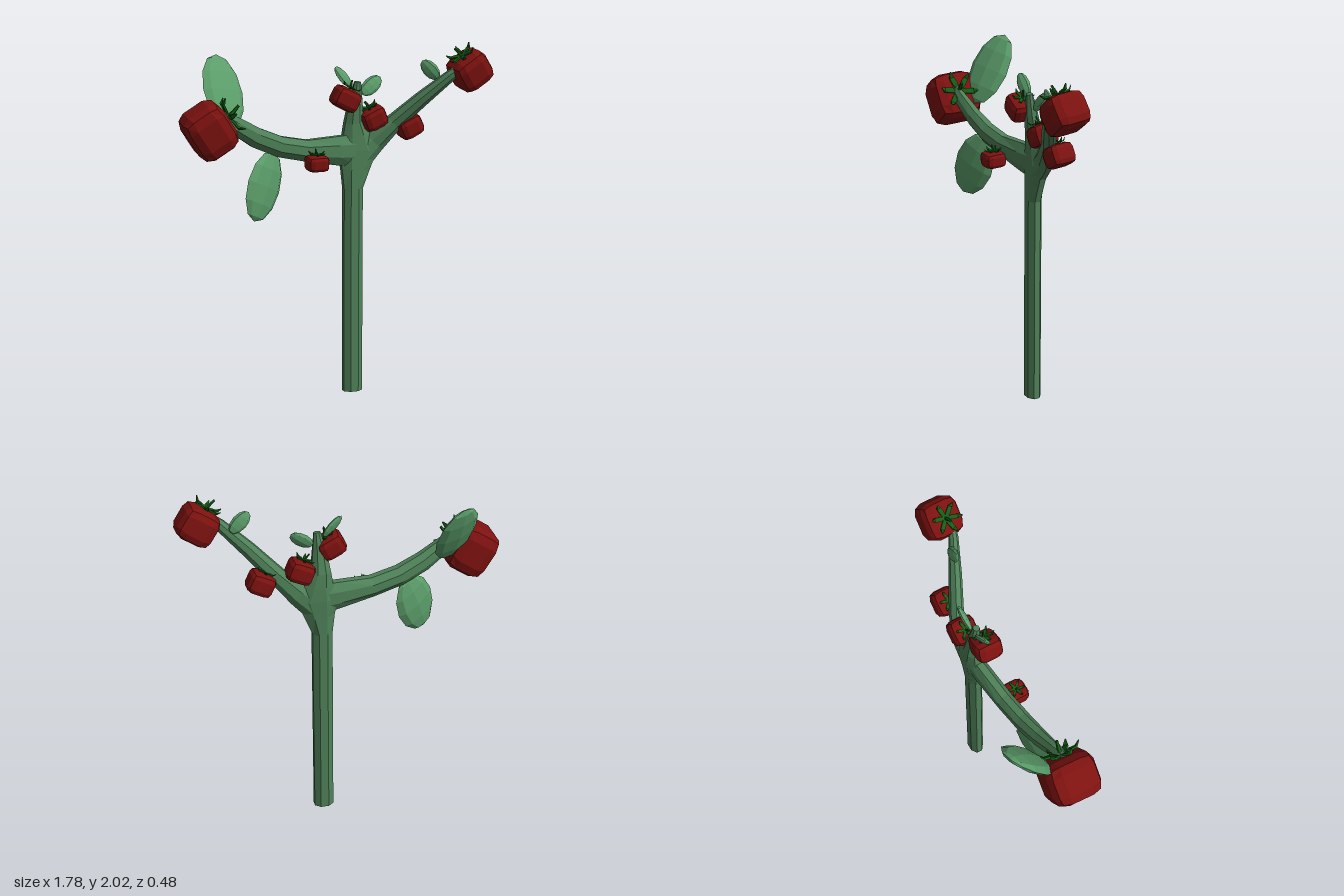
import * as THREE from 'three';

const mat = (color) => new THREE.MeshStandardMaterial({ color, flatShading: true });
const stemMat = mat(0x4f8259);
const leafMat = mat(0x5c9f6b);
const fruitMat = mat(0x7d1210);
const sepalMat = mat(0x145c16);

// Tapered limb through rings [x, y, z, radius in the xy plane, radius along z]
function limb(name, rings, material, sides = 8) {
  const pts = rings.map(([x, y, z]) => new THREE.Vector3(x, y, z));
  const pos = [], idx = [], n = pts.length;
  pts.forEach((p, i) => {
    const t = pts[Math.min(i + 1, n - 1)].clone().sub(pts[Math.max(i - 1, 0)]).normalize();
    const u = new THREE.Vector3(0, 0, 1).cross(t).normalize();
    const v = t.clone().cross(u);
    for (let j = 0; j < sides; j++) {
      const a = ((j + 0.5) / sides) * Math.PI * 2;
      const q = p.clone().addScaledVector(u, Math.cos(a) * rings[i][3]).addScaledVector(v, Math.sin(a) * rings[i][4]);
      pos.push(q.x, q.y, q.z);
    }
  });
  pos.push(...pts[0].toArray(), ...pts[n - 1].toArray());
  const c0 = n * sides, c1 = c0 + 1, last = (n - 1) * sides;
  for (let j = 0; j < sides; j++) {
    const k = (j + 1) % sides;
    for (let i = 0; i < n - 1; i++) {
      const a = i * sides + j, b = i * sides + k;
      idx.push(a, b, b + sides, a, b + sides, a + sides);
    }
    idx.push(c0, k, j, c1, last + j, last + k);
  }
  const g = new THREE.BufferGeometry();
  g.setAttribute('position', new THREE.Float32BufferAttribute(pos, 3));
  g.setIndex(idx);
  g.computeVertexNormals();
  const m = new THREE.Mesh(g, material);
  m.name = name;
  return m;
}

// Boxy rounded body: a 3 x 3 x 3 box pulled onto a superellipsoid
function fruitBody(w, h) {
  const g = new THREE.BoxGeometry(2, 2, 2, 3, 3, 3);
  const p = g.attributes.position, v = new THREE.Vector3();
  const spread = (c) => (Math.abs(c) < 0.9 ? Math.sign(c) * 0.5 : c);
  for (let i = 0; i < p.count; i++) {
    v.fromBufferAttribute(p, i);
    v.set(spread(v.x), spread(v.y), spread(v.z));
    const r = (v.x ** 4 + v.y ** 4 + v.z ** 4) ** 0.25;
    v.multiplyScalar(1 / r);
    p.setXYZ(i, v.x * w / 2, v.y * h / 2, v.z * w / 2);
  }
  g.computeVertexNormals();
  const m = new THREE.Mesh(g, fruitMat);
  m.name = 'fruitBody';
  return m;
}

// Fruit with a crown of curled sepals, its top turned towards "up"
function fruit(center, w, h, up) {
  const f = new THREE.Group();
  f.name = 'fruit';
  f.add(fruitBody(w, h));
  const y = h / 2;
  for (let i = 0; i < 6; i++) {
    const s = limb('sepal', [
      [0, y, 0, 0.012 * w, 0.05 * w],
      [0.17 * w, y + 0.04 * w, 0, 0.03 * w, 0.08 * w],
      [0.31 * w, y + 0.05 * w, 0, 0.03 * w, 0.07 * w],
      [0.4 * w, y + 0.15 * w, 0, 0.01 * w, 0.015 * w],
    ], sepalMat, 4);
    s.rotation.y = (i / 6) * Math.PI * 2 + 0.3;
    f.add(s);
  }
  f.add(limb('fruitStalk', [
    [0, y - 0.05 * w, 0, 0.05 * w, 0.05 * w],
    [-0.03 * w, y + 0.15 * w, 0, 0.04 * w, 0.04 * w],
    [-0.08 * w, y + 0.3 * w, 0, 0.03 * w, 0.03 * w],
  ], sepalMat, 5));
  f.position.set(...center);
  f.quaternion.setFromUnitVectors(new THREE.Vector3(0, 1, 0), new THREE.Vector3(...up).normalize());
  return f;
}

// Thick flattened leaf; "along" is its length, "across" its width
function leaf(center, along, across, halfLength, halfWidth, halfThick) {
  const m = new THREE.Mesh(new THREE.SphereGeometry(1, 8, 6), leafMat);
  m.name = 'leaf';
  const y = new THREE.Vector3(...along).normalize();
  const z = new THREE.Vector3(...across).cross(y).normalize();
  const x = y.clone().cross(z);
  m.quaternion.setFromRotationMatrix(new THREE.Matrix4().makeBasis(x, y, z));
  m.scale.set(halfWidth, halfLength, halfThick);
  m.position.set(...center);
  return m;
}

export function createModel() {
  const model = new THREE.Group();
  model.name = 'fruitingPlant';

  // Trunk, swelling at the fork and running on into the middle shoot
  model.add(limb('trunk', [
    [0.122, 0, -0.033, 0.061, 0.045],
    [0.122, 1.2, -0.033, 0.061, 0.045],
    [0.135, 1.31, -0.033, 0.09, 0.046],
    [0.15, 1.42, -0.035, 0.125, 0.05],
    [0.14, 1.5, -0.035, 0.09, 0.048],
    [0.127, 1.58, -0.033, 0.06, 0.045],
    [0.13, 1.7, -0.015, 0.042, 0.036],
    [0.138, 1.81, 0, 0.02, 0.018],
  ], stemMat));

  // Side branches
  model.add(limb('rightBranch', [
    [0.15, 1.42, -0.035, 0.1, 0.045],
    [0.03, 1.425, -0.022, 0.09, 0.05],
    [-0.17, 1.44, 0.0, 0.065, 0.05],
    [-0.33, 1.475, 0.02, 0.062, 0.05],
    [-0.47, 1.535, 0.04, 0.06, 0.044],
    [-0.59, 1.61, 0.06, 0.052, 0.034],
    [-0.67, 1.67, 0.07, 0.03, 0.022],
  ], stemMat));
  model.add(limb('leftBranch', [
    [0.15, 1.36, -0.035, 0.08, 0.045],
    [0.25, 1.46, -0.035, 0.07, 0.045],
    [0.36, 1.57, 0.0, 0.053, 0.04],
    [0.5, 1.71, 0.075, 0.045, 0.035],
    [0.64, 1.84, 0.145, 0.034, 0.026],
    [0.73, 1.91, 0.18, 0.02, 0.016],
  ], stemMat));

  // Fruits
  const fruits = [
    [[-0.74, 1.59, 0.05], 0.285, 0.25, [0.82, 0.52, 0.08]],
    [[0.765, 1.865, 0.128], 0.215, 0.195, [-0.55, 0.8, 0.12]],
    [[0.06, 1.72, 0.012], 0.155, 0.125, [0.45, 0.88, 0.05]],
    [[0.24, 1.6, -0.028], 0.15, 0.125, [-0.4, 0.88, 0.1]],
    [[0.455, 1.545, -0.012], 0.15, 0.125, [-0.45, 0.88, 0.1]],
    [[-0.135, 1.38, 0.085], 0.127, 0.09, [0, 1, 0.05]],
  ];
  fruits.forEach((f) => model.add(fruit(...f)));

  // Leaves: two large ones by the long branch, three small ones on the shoots
  const leaves = [
    [[-0.605, 1.775, -0.125], [-0.03, 0.87, -0.48], [0.9, 0.05, -0.45], 0.22, 0.135, 0.035],
    [[-0.435, 1.265, 0.06], [0.35, 0.9, -0.2], [0.85, -0.35, -0.45], 0.2, 0.13, 0.035],
    [[0.055, 1.84, -0.01], [-0.65, 0.72, 0.05], [0.6, 0.6, -0.6], 0.075, 0.038, 0.016],
    [[0.227, 1.782, -0.02], [0.75, 0.6, -0.1], [-0.5, 0.7, -0.3], 0.075, 0.045, 0.018],
    [[0.54, 1.87, 0.09], [-0.68, 0.7, 0.05], [0.6, 0.6, 0.3], 0.075, 0.042, 0.018],
  ];
  leaves.forEach((l) => model.add(leaf(...l)));

  return model;
}
